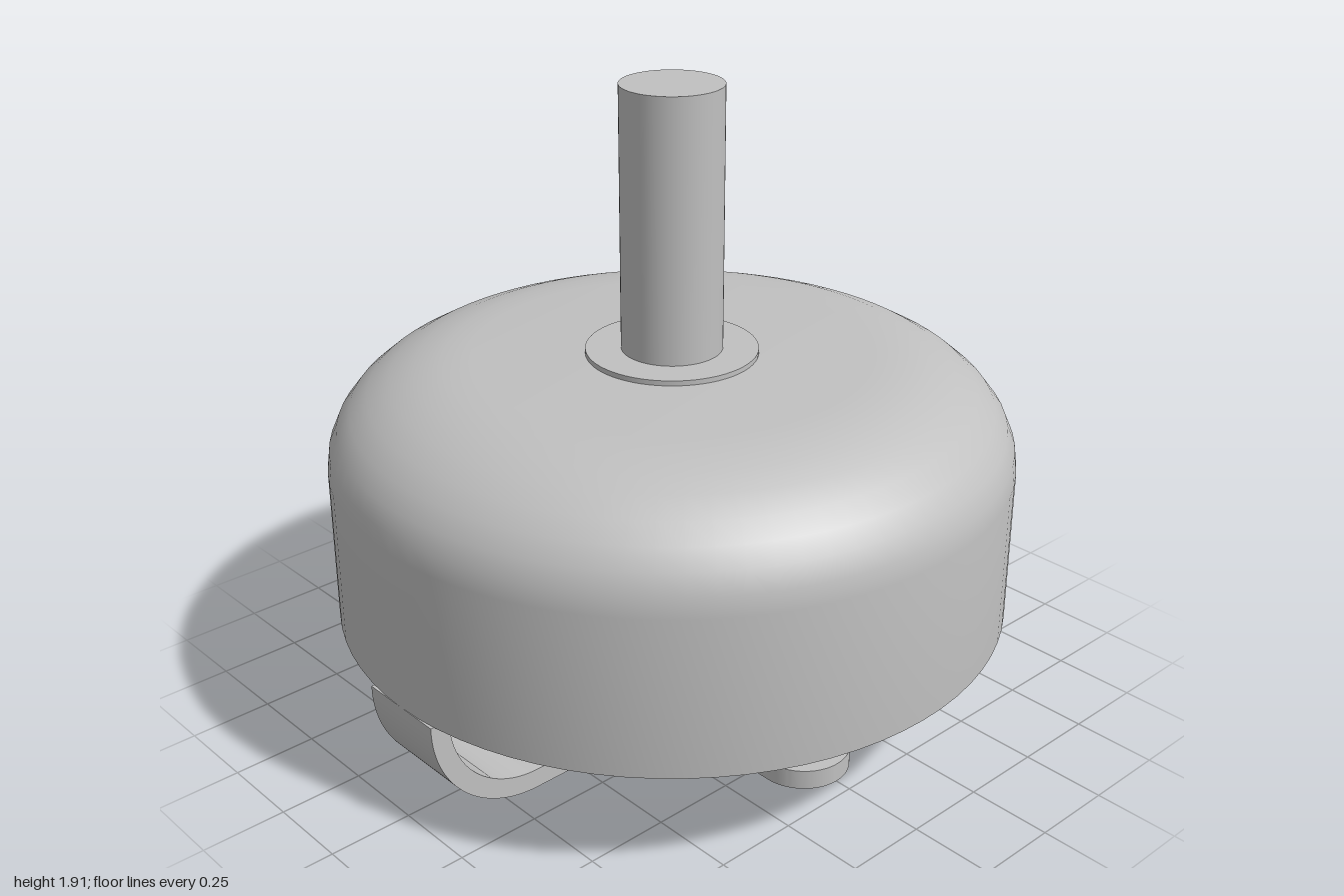
import * as THREE from 'three';
import { toCreasedNormals } from 'three/addons/utils/BufferGeometryUtils.js';

export function createModel() {
  const group = new THREE.Group();
  const metal = new THREE.MeshStandardMaterial({ color: 0xc0c0c0 });
  metal.name = 'grey metal';

  const add = (name, geometry) => {
    const mesh = new THREE.Mesh(geometry, metal);
    mesh.name = name;
    group.add(mesh);
    return mesh;
  };
  const cylinder = (name, radius, y0, y1) => {
    add(name, new THREE.CylinderGeometry(radius, radius, y1 - y0, 64)).position.y = (y0 + y1) / 2;
  };
  const extrude = (shape, depth) => toCreasedNormals(
    new THREE.ExtrudeGeometry(shape, { depth, bevelEnabled: false, curveSegments: 24 }), 0.5);

  // Domed bell: straight wall, rounded shoulder, flat top
  const profile = [new THREE.Vector2(0, 0.36), new THREE.Vector2(1, 0.36)];
  for (let i = 0; i <= 8; i++) {
    const a = (i / 8) * Math.PI / 2;
    profile.push(new THREE.Vector2(0.58 + 0.42 * Math.cos(a), 0.83 + 0.295 * Math.sin(a)));
  }
  profile.push(new THREE.Vector2(0, 1.125));
  add('bell', toCreasedNormals(new THREE.LatheGeometry(profile, 80), 0.6));

  // Shaft, washer and column
  cylinder('washer', 0.25, 1.12, 1.14);
  cylinder('shaft', 0.147, 1.13, 1.91);
  cylinder('column', 0.292, 0.05, 0.37);

  // Mounting plate: round hub with four drilled arms, the one at -x left square for the strap
  const half = 0.14, hub = 0.386, reach = 0.56, bend = 0.65;
  const spread = Math.asin(half / hub);
  const plate = new THREE.Shape();
  for (let i = 0; i < 4; i++) {
    const a = i * Math.PI / 2;
    const cx = Math.cos(a) * reach, cy = Math.sin(a) * reach;
    if (i === 2) {
      plate.lineTo(-bend, half);
      plate.lineTo(-bend, -half);
    } else if (i === 0) {
      plate.moveTo(reach, -half);
      plate.absarc(cx, cy, half, -Math.PI / 2, Math.PI / 2, false);
    } else {
      plate.absarc(cx, cy, half, a - Math.PI / 2, a + Math.PI / 2, false);
    }
    plate.absarc(0, 0, hub, a + spread, a + Math.PI / 2 - spread, false);
    const hole = new THREE.Path();
    hole.absarc(cx, cy, 0.085, 0, Math.PI * 2, true);
    plate.holes.push(hole);
  }
  plate.closePath();
  add('mountingPlate', extrude(plate, 0.06).rotateX(-Math.PI / 2));

  // Curved strap rising from the plate to the bell rim
  const strap = new THREE.Shape();
  strap.moveTo(-bend, 0);
  strap.absarc(-bend, 0.35, 0.35, -Math.PI / 2, -Math.PI, true);
  strap.lineTo(-1, 0.36);
  strap.lineTo(-0.94, 0.36);
  strap.absarc(-bend, 0.35, 0.29, Math.PI, Math.PI * 1.5, false);
  strap.closePath();
  add('strap', extrude(strap, half * 2).translate(0, 0, -half));

  return group;
}
